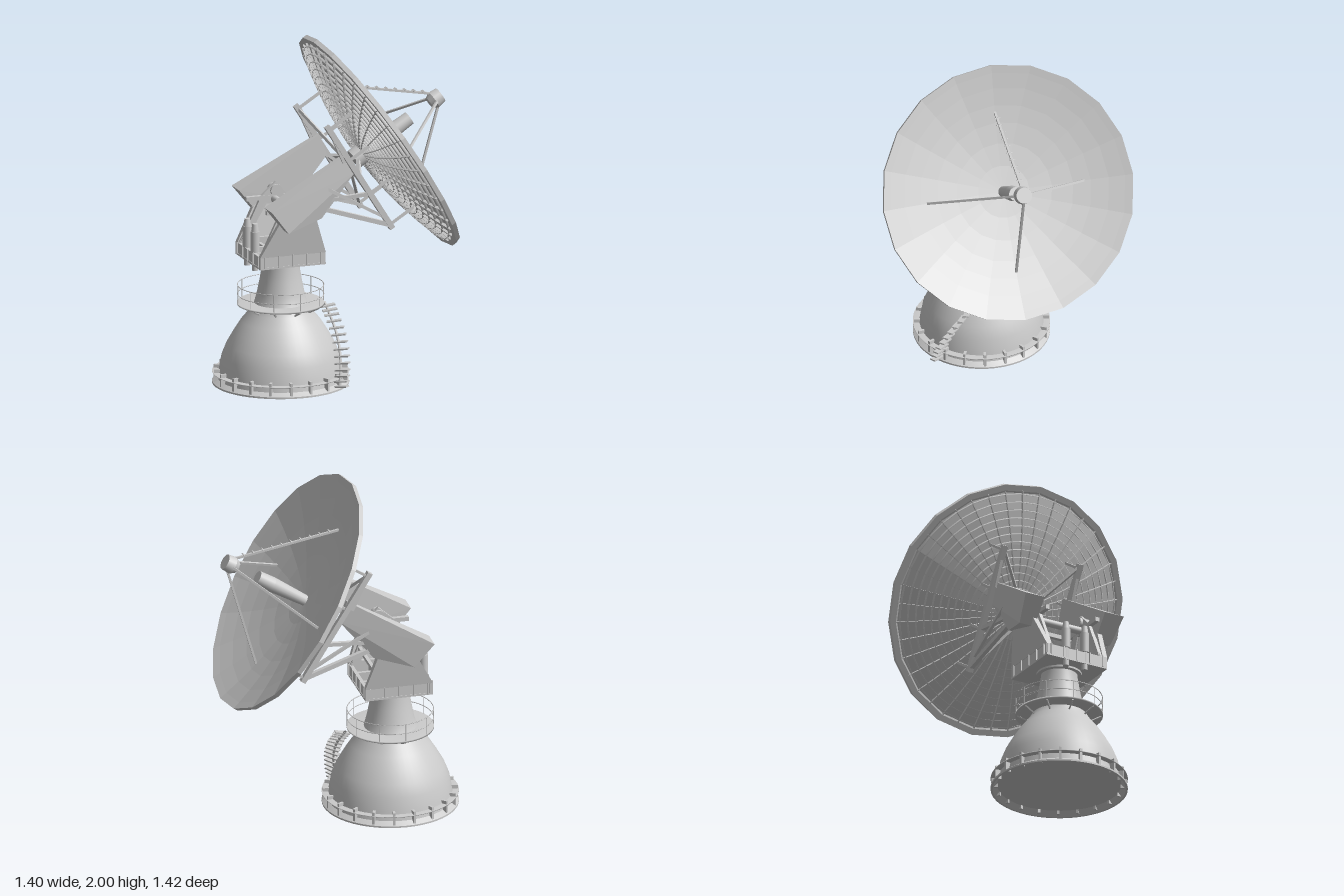
import * as THREE from 'three';
import { toCreasedNormals } from 'three/addons/utils/BufferGeometryUtils.js';
import { ConvexGeometry } from 'three/addons/geometries/ConvexGeometry.js';

const grey = new THREE.MeshStandardMaterial({ color: 0xcccccc, side: THREE.DoubleSide });
const flat = new THREE.MeshStandardMaterial({ color: 0xcccccc, side: THREE.DoubleSide, flatShading: true });
const V = (x, y, z) => new THREE.Vector3(x, y, z);

function add(parent, name, geo, x = 0, y = 0, z = 0, mat = grey) {
  const m = new THREE.Mesh(geo, mat);
  m.name = name;
  m.position.set(x, y, z);
  parent.add(m);
  return m;
}
// Square beam between two points
function beam(parent, name, a, b, w) {
  const m = add(parent, name, new THREE.BoxGeometry(w, w, a.distanceTo(b)));
  m.position.copy(a).add(b).multiplyScalar(0.5);
  m.quaternion.setFromUnitVectors(V(0, 0, 1), b.clone().sub(a).normalize());
}
// Round rod between two points, r2 at the far end
function rod(parent, name, a, b, r, r2 = r, sides = 20) {
  const m = add(parent, name, new THREE.CylinderGeometry(r2, r, a.distanceTo(b), sides));
  m.position.copy(a).add(b).multiplyScalar(0.5);
  m.quaternion.setFromUnitVectors(V(0, 1, 0), b.clone().sub(a).normalize());
}
const lathe = (pts, n) => new THREE.LatheGeometry(pts.map(p => new THREE.Vector2(...p)), n);
const hoop = (r, t) => new THREE.TorusGeometry(r, t, 5, 40).rotateX(Math.PI / 2);
// Plate with outline in (z, y), thickness along x
function sidePlate(pts, thickness, hole) {
  const s = new THREE.Shape(pts.map(p => new THREE.Vector2(...p)));
  s.holes.push(new THREE.Path(hole.map(p => new THREE.Vector2(...p))));
  return new THREE.ExtrudeGeometry(s, { depth: thickness, bevelEnabled: false })
    .translate(0, 0, -thickness / 2).rotateY(-Math.PI / 2);
}

function buildBase(g) {
  // Bell-shaped pedestal with a hollow skirt at its foot
  add(g, 'pedestal', toCreasedNormals(lathe([[0, 0.03], [0.355, 0.03], [0.38, 0], [0.392, 0], [0.392, 0.01],
    [0.362, 0.03], [0.352, 0.08], [0.338, 0.16], [0.31, 0.23], [0.27, 0.3], [0.228, 0.365], [0.183, 0.42],
    [0.152, 0.47], [0.136, 0.53], [0.12, 0.61], [0.105, 0.7], [0.105, 0.74], [0, 0.74]], 48), 0.6));
  add(g, 'baseFlange', lathe([[0.35, 0.064], [0.392, 0.064], [0.392, 0.068], [0.35, 0.068]], 48));
  for (let i = 0; i < 20; i++) {
    const p = new THREE.Group();
    p.rotation.y = i * Math.PI / 10;
    g.add(p);
    add(p, 'baseFin', new THREE.BoxGeometry(0.035, 0.08, 0.014), 0.368, 0.048, 0);
    if (i % 2) continue;
    // Walkway brackets and rail posts
    beam(p, 'walkwayBracket', V(0.17, 0.425, 0), V(0.24, 0.46, 0), 0.008);
    rod(p, 'railPost', V(0.247, 0.465, 0), V(0.247, 0.575, 0), 0.0025, 0.0025, 5);
  }
  add(g, 'walkway', lathe([[0.14, 0.462], [0.25, 0.462], [0.25, 0.472], [0.14, 0.472]], 40));
  for (const y of [0.52, 0.575]) add(g, 'walkwayRail', hoop(0.247, 0.0025), 0, y, 0);

  // Curved stair hugging the pedestal
  const path = new THREE.CatmullRomCurve3([V(0.395, 0.02, 0.04), V(0.39, 0.1, 0.015), V(0.365, 0.2, -0.03),
    V(0.315, 0.3, -0.085), V(0.245, 0.39, -0.14), V(0.19, 0.45, -0.18)]);
  add(g, 'stairStringer', new THREE.TubeGeometry(path, 24, 0.008, 6));
  for (let i = 0; i < 14; i++) {
    const p = path.getPoint((i + 0.3) / 14);
    const step = add(g, 'stairStep', new THREE.BoxGeometry(0.085, 0.008, 0.035), p.x + 0.012, p.y, p.z);
    step.rotation.set(0, Math.atan2(-p.z, p.x), 0.15);
  }
}

function buildAlidade(g) {
  // Square turntable frame
  add(g, 'turntable', new THREE.CylinderGeometry(0.13, 0.13, 0.035, 32), 0, 0.73, 0);
  add(g, 'platform', new THREE.BoxGeometry(0.4, 0.012, 0.4), 0, 0.73, 0);
  for (const s of [-1, 1]) {
    add(g, 'edgeBeam', new THREE.BoxGeometry(0.02, 0.06, 0.4), s * 0.187, 0.766, 0);
    add(g, 'edgeBeam', new THREE.BoxGeometry(0.4, 0.06, 0.02), 0, 0.766, s * 0.187);
    add(g, 'floorBeam', new THREE.BoxGeometry(0.02, 0.05, 0.38), s * 0.065, 0.765, 0);
    add(g, 'floorBeam', new THREE.BoxGeometry(0.38, 0.05, 0.02), 0, 0.765, s * 0.07);
    for (let i = -2; i <= 2; i++) {
      add(g, 'edgeRib', new THREE.BoxGeometry(0.01, 0.07, 0.006), s * 0.2, 0.765, i * 0.085);
      add(g, 'edgeRib', new THREE.BoxGeometry(0.006, 0.07, 0.01), i * 0.085, 0.765, s * 0.2);
    }
    // Tower: open side plate, sloping legs and an outer shell
    add(g, 'towerPlate', sidePlate([[-0.19, 0.79], [0.19, 0.79], [0.1, 1.06], [0.03, 1.14], [-0.06, 1.06]], 0.02,
      [[-0.13, 0.82], [-0.04, 1.02], [0.06, 1.02], [0.13, 0.82]]), s * 0.165, 0, 0, flat);
    for (const z of [-0.18, 0.18]) beam(g, 'towerLeg', V(s * 0.175, 0.79, z), V(s * 0.18, 1.08, 0.02 + z * 0.1), 0.03);
    beam(g, 'towerTopBeam', V(s * 0.165, 1.05, -0.15), V(s * 0.165, 1.05, 0.18), 0.025);
    const shell = [];
    for (const u of [0.17, 0.2]) for (const z of [-0.2, 0.2]) {
      shell.push(V(s * u, 0.795, z), V(s * (u + 0.04), 1.07, 0.03 + z * 0.4));
    }
    add(g, 'towerShell', new ConvexGeometry(shell), 0, 0, 0, flat);
    rod(g, 'elevationBearing', V(s * 0.14, 1.09, 0.03), V(s * 0.25, 1.09, 0.03), 0.035);
    // Drive motors at the back
    const x = s * 0.062;
    rod(g, 'driveMotor', V(x, 0.69, -0.18), V(x, 0.82, -0.18), 0.018);
    rod(g, 'driveMotor', V(x, 0.8, -0.18), V(x, 0.92, -0.18), 0.026);
    rod(g, 'driveMotorCap', V(x, 0.92, -0.18), V(x, 0.965, -0.18), 0.022, 0.016);
  }
  rod(g, 'crossTube', V(-0.17, 1.04, 0.02), V(0.17, 1.04, 0.02), 0.022);
  beam(g, 'crossBeam', V(-0.17, 1.04, 0.16), V(0.17, 1.04, 0.16), 0.025);
  beam(g, 'crossBeam', V(-0.17, 0.9, 0.14), V(0.17, 0.9, 0.14), 0.02);
}

// Dish frame: z is the pointing axis, origin at the centre of the rim
const R = 0.735, DEPTH = 0.13;
const bowl = r => -DEPTH * (1 - (r / R) ** 2);

function buildDish(g) {
  const radii = [0.02, 0.15, 0.28, 0.4, 0.5, 0.6, 0.69];
  const profile = [...radii.map(r => [r, bowl(r) - 0.008]), [0.7, -0.028], [R, -0.028], [R, 0],
    ...radii.reverse().map(r => [r, bowl(r)])];
  add(g, 'reflector', lathe(profile, 20).rotateX(Math.PI / 2), 0, 0, 0, flat);

  // Fine lattice of hoops and ribs behind the reflector
  for (let i = 1; i <= 14; i++) {
    const r = 0.06 + i * 0.044, y = bowl(r);
    add(g, 'backHoop', lathe([[r, y - 0.02], [r + 0.004, y - 0.02], [r + 0.004, y - 0.006], [r, y - 0.006]], 40)
      .rotateX(Math.PI / 2));
  }
  const rib = [];
  for (let i = 0; i <= 6; i++) rib.push([0.08 + i * 0.103, bowl(0.08 + i * 0.103) - 0.006]);
  for (let i = 6; i >= 0; i--) rib.push([0.08 + i * 0.103, bowl(0.08 + i * 0.103) - 0.022]);
  const ribGeo = new THREE.ExtrudeGeometry(new THREE.Shape(rib.map(p => new THREE.Vector2(...p))),
    { depth: 0.004, bevelEnabled: false }).translate(0, 0, -0.002).rotateX(Math.PI / 2);
  for (let i = 0; i < 40; i++) add(g, 'backRib', ribGeo).rotation.z = i * Math.PI / 20;

  // Feed tube, subreflector and its four legs
  rod(g, 'hubCollar', V(0, 0, -0.2), V(0, 0, -0.14), 0.06, 0.06);
  rod(g, 'feedTube', V(0, 0, -0.13), V(0, 0, 0.1), 0.032, 0.044);
  rod(g, 'feedHorn', V(0, 0, 0.1), V(0, 0, 0.2), 0.044, 0.04);
  rod(g, 'subreflector', V(0, 0, 0.345), V(0, 0, 0.375), 0.035, 0.052);
  rod(g, 'subreflectorHousing', V(0, 0, 0.375), V(0, 0, 0.425), 0.052, 0.046);
  for (let i = 0; i < 4; i++) {
    const t = i * Math.PI / 2, c = Math.cos(t), s = Math.sin(t);
    const foot = V(0.46 * c, 0.46 * s, bowl(0.46)), top = V(0.04 * c, 0.04 * s, 0.385);
    beam(g, 'feedLeg', foot, top, 0.013);
    if (i !== 1) continue;
    // Rungs on the upper leg
    for (let k = 1; k < 11; k++) {
      const p = foot.clone().lerp(top, k / 11);
      add(g, 'legRung', new THREE.BoxGeometry(0.035, 0.004, 0.012), p.x, p.y + 0.007, p.z + 0.007);
    }
  }
}

function buildBackFrame(g) {
  for (const s of [-1, 1]) {
    const x = s * 0.25, pivot = V(s * 0.22, 0.06, -0.62);
    beam(g, 'backBar', V(x, -0.375, -0.27), V(x, 0.375, -0.27), 0.032);
    for (const v of [-0.35, -0.12, 0.12, 0.35]) {
      beam(g, 'dishStrut', V(x, v, -0.27), V(x, v, bowl(Math.hypot(x, v)) - 0.012), 0.014);
    }
    beam(g, 'frameStrut', pivot, V(x, -0.35, -0.27), 0.026);
    beam(g, 'frameStrut', pivot, V(x, -0.12, -0.27), 0.022);
    beam(g, 'frameStrut', V(x, 0.13, -0.5), V(x, -0.28, -0.28), 0.018);
    beam(g, 'frameStrut', V(x, 0.13, -0.3), V(x, 0.34, -0.27), 0.018);
    beam(g, 'frameDiagonal', V(x, 0.36, -0.27), V(0, 0.02, -0.24), 0.016);
    beam(g, 'frameDiagonal', V(x, -0.36, -0.27), V(0, -0.02, -0.24), 0.016);
    beam(g, 'hubStrut', V(x, 0, -0.27), V(0, 0, -0.17), 0.02);

    // Counterweight wedge: flat inner side, thick at the rear, thin at the dish
    const corners = [[0.2, 0.18, -0.82], [0.325, 0.18, -0.82], [0.2, 0, -0.8], [0.3, 0, -0.8],
      [0.2, -0.07, -0.58], [0.24, -0.07, -0.58], [0.21, 0.16, -0.25], [0.24, 0.16, -0.25],
      [0.21, 0.03, -0.28], [0.23, 0.03, -0.28]];
    add(g, 'counterweightArm', new ConvexGeometry(corners.map(c => V(s * c[0], c[1], c[2]))), 0, 0, 0, flat);
  }
  beam(g, 'frameCross', V(-0.25, 0, -0.27), V(0.25, 0, -0.27), 0.02);
}

export function createModel() {
  const model = new THREE.Group();
  model.name = 'radioTelescope';
  const base = new THREE.Group();
  base.name = 'base';
  base.position.set(-0.31, 0, 0.31);
  buildBase(base);
  // Rotating head turned in azimuth, dish tilted in elevation
  const head = new THREE.Group();
  head.name = 'rotatingHead';
  head.rotation.y = THREE.MathUtils.degToRad(137.5);
  buildAlidade(head);
  const dish = new THREE.Group();
  dish.name = 'dishAssembly';
  dish.position.set(0, 1.375, 0.615);
  dish.rotation.x = -THREE.MathUtils.degToRad(32);
  buildDish(dish);
  buildBackFrame(dish);
  head.add(dish);
  base.add(head);
  model.add(base);
  return model;
}
